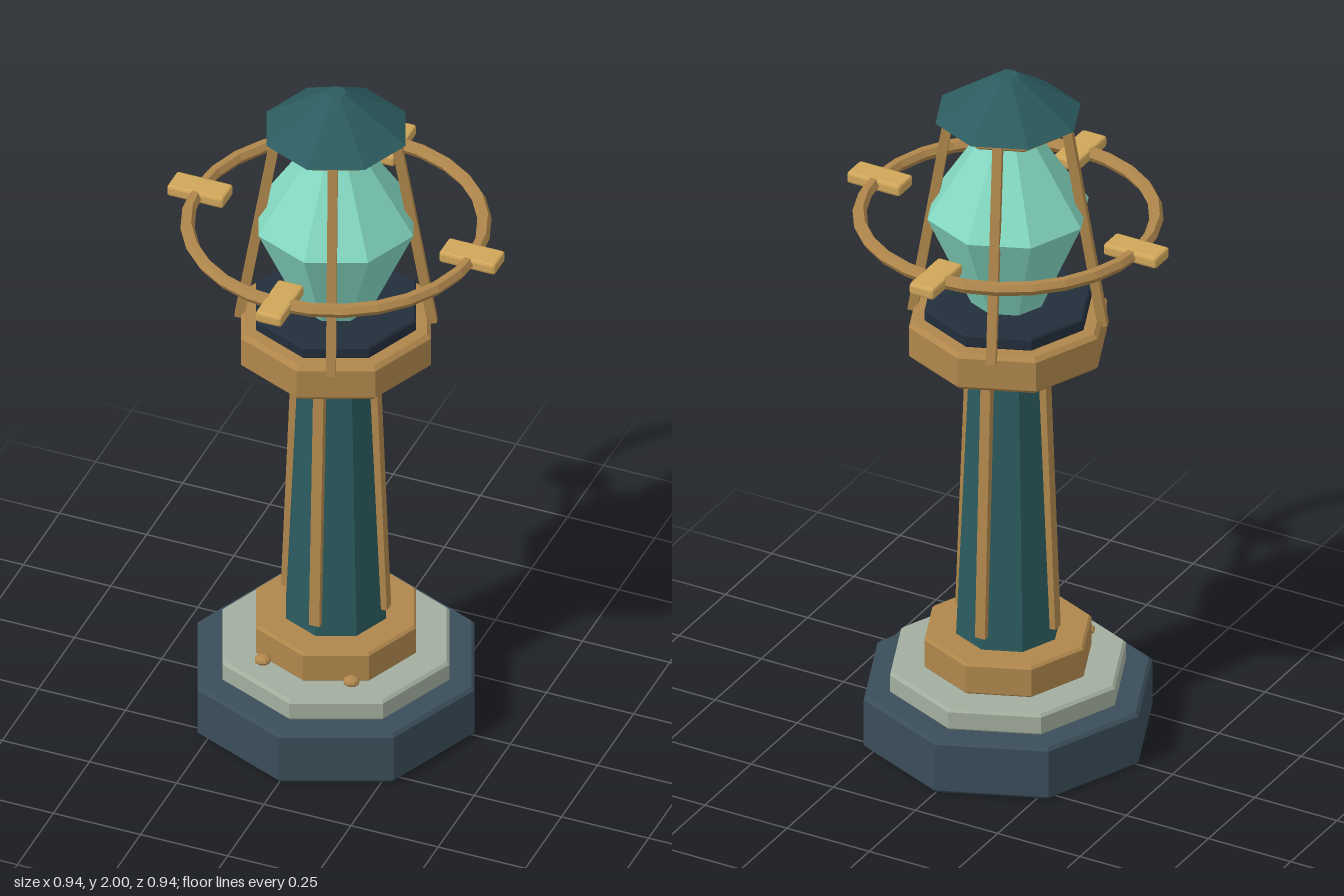
import * as THREE from 'three';
import { RoundedBoxGeometry } from 'three/addons/geometries/RoundedBoxGeometry.js';

const paint = (color) => new THREE.MeshStandardMaterial({ color, flatShading: true });
const slate = paint(0x3a4d59);
const navy = paint(0x222e3b);
const stone = paint(0xa3ae9f);
const bronze = paint(0xb0874c);
const brass = paint(0xd0a65a);
const teal = paint(0x2b5b5e);
const glass = paint(0x84d9c2);

export function createModel() {
  const model = new THREE.Group();

  const add = (name, geometry, material, parent = model) => {
    const mesh = new THREE.Mesh(geometry, material);
    mesh.name = name;
    parent.add(mesh);
    return mesh;
  };

  // Closed eight-sided solid from [radius, height] pairs, bottom to top
  const octagon = (name, material, profile) => {
    const points = [[0, profile[0][1]], ...profile, [0, profile.at(-1)[1]]];
    const geometry = new THREE.LatheGeometry(points.map((p) => new THREE.Vector2(...p)), 8).toNonIndexed();
    geometry.computeVertexNormals();
    return add(name, geometry, material);
  };

  // Eight-sided slab with chamfered rims
  const slab = (name, material, r, y0, y1, c) =>
    octagon(name, material, [[r - c, y0], [r, y0 + c], [r, y1 - c], [r - c, y1]]);

  // Square bar between two points, its flat side facing outward at the given turn
  const bar = (name, turn, [r0, y0], [r1, y1], width, depth) => {
    const pivot = new THREE.Group();
    pivot.rotation.y = turn;
    model.add(pivot);
    const mesh = add(name, new THREE.BoxGeometry(width, Math.hypot(r1 - r0, y1 - y0), depth), bronze, pivot);
    mesh.position.set(0, (y0 + y1) / 2, (r0 + r1) / 2);
    mesh.rotation.x = Math.atan2(r1 - r0, y1 - y0);
  };

  // Stepped foot
  slab('base', slate, 0.397, 0, 0.157, 0.009);
  slab('stoneStep', stone, 0.325, 0.155, 0.22, 0.008);
  slab('footCollar', bronze, 0.23, 0.218, 0.312, 0.007);

  // Column and gallery
  octagon('column', teal, [[0.143, 0.31], [0.105, 1.18]]);
  slab('gallery', bronze, 0.273, 1.17, 1.28, 0.012);
  slab('lampSeat', navy, 0.23, 1.278, 1.318, 0.006);

  // Lamp and roof
  octagon('crystal', glass, [[0.1, 1.315], [0.222, 1.59], [0.05, 1.856]]);
  slab('roofCollar', bronze, 0.167, 1.852, 1.884, 0.006);
  octagon('roof', teal, [[0.2, 1.88], [0.027, 2]]);

  // Ring around the lamp
  const ring = add('ring', new THREE.TorusGeometry(0.394, 0.019, 6, 28), bronze);
  ring.rotation.x = Math.PI / 2;
  ring.position.y = 1.57;

  for (let i = 0; i < 4; i++) {
    const turn = (i * Math.PI) / 2;
    bar('columnStrip', turn, [0.141, 0.35], [0.11, 1.14], 0.03, 0.022);
    bar('cageBar', turn + 0.34, [0.256, 1.26], [0.156, 1.87], 0.026, 0.026);

    const lug = add('ringLug', new RoundedBoxGeometry(0.075, 0.034, 0.162, 1, 0.008), brass);
    lug.position.set(Math.sin(turn) * 0.39, 1.57, Math.cos(turn) * 0.39);
    lug.rotation.y = turn;
  }

  // Rivets on the front of the foot collar
  for (const side of [-1, 1]) {
    const rivet = add('rivet', new THREE.SphereGeometry(0.023, 8, 6), bronze);
    rivet.scale.y = 0.6;
    rivet.position.set(side * 0.127, 0.238, 0.2);
  }

  return model;
}
